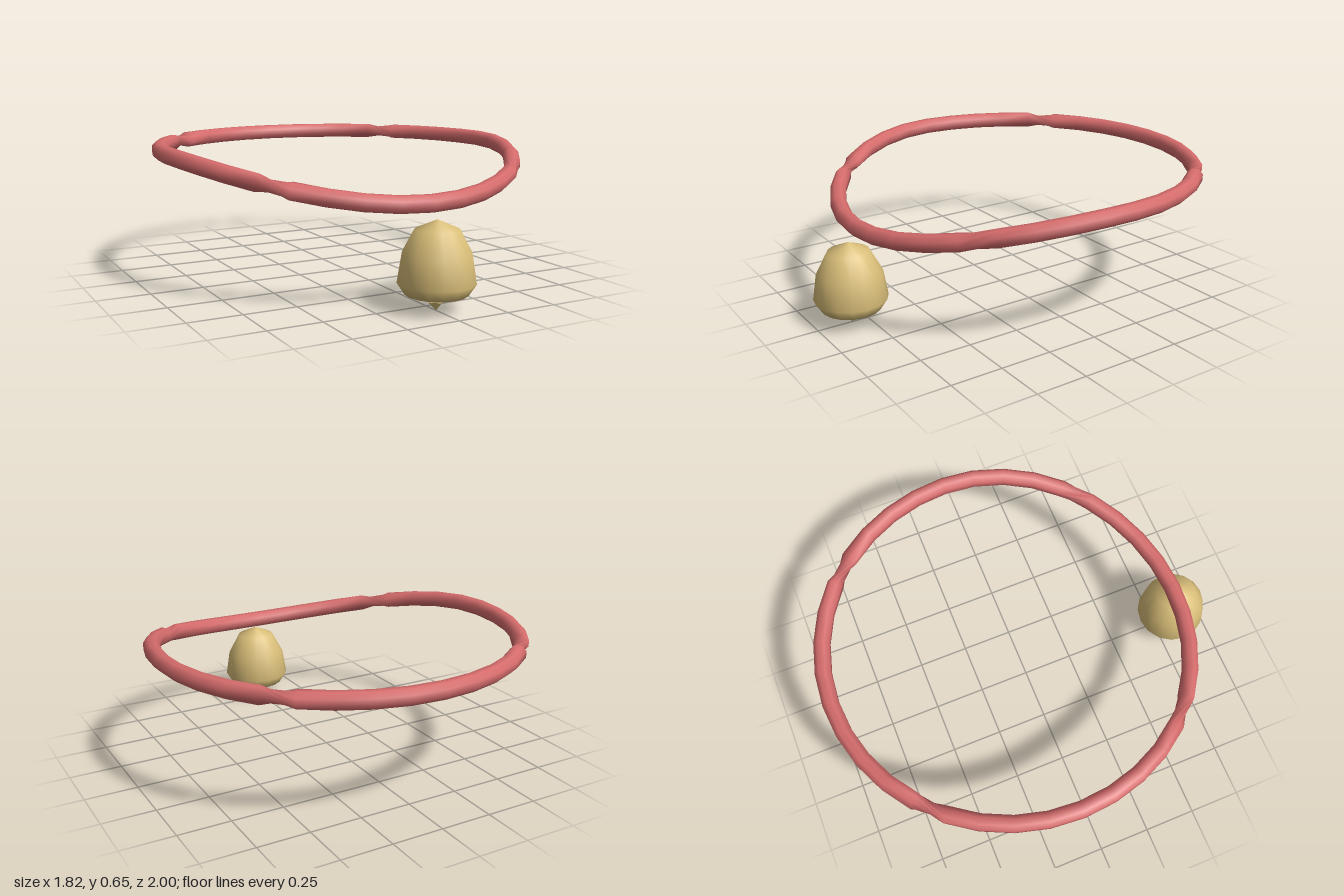
import * as THREE from 'three';

const red = new THREE.MeshStandardMaterial({ color: 0xd66c6c });
red.name = 'collarRed';
const gold = new THREE.MeshStandardMaterial({ color: 0xd8bd78 });
gold.name = 'bellGold';

// Round band that sags toward the front; its section twists at the four diagonals
function collarGeometry() {
  const SEG = 36, SIDES = 8, R = 0.872, r = 0.0405, cz = -0.088;
  const twists = [0, -45, 90, 225].map(THREE.MathUtils.degToRad); // right, front, left, back
  const pos = [], index = [];
  const up = new THREE.Vector3();
  for (let i = 0; i < SEG; i++) {
    const a = (i / SEG) * Math.PI * 2;
    const sag = Math.max(0, Math.sin(a));
    const centre = new THREE.Vector3(R * Math.cos(a), 0.617 - 0.16 * sag * sag, cz + R * Math.sin(a));
    const tangent = new THREE.Vector3(-R * Math.sin(a), -0.32 * sag * Math.cos(a), R * Math.cos(a)).normalize();
    const radial = new THREE.Vector3(Math.cos(a), 0, Math.sin(a));
    up.crossVectors(tangent, radial).normalize();
    const twist = twists[Math.floor((i + 4) / 9) % 4];
    for (let j = 0; j < SIDES; j++) {
      const b = ((j + 0.5) / SIDES) * Math.PI * 2 + twist;
      const p = centre.clone().addScaledVector(radial, r * Math.cos(b)).addScaledVector(up, r * Math.sin(b));
      pos.push(p.x, p.y, p.z);
      const k = (j + 1) % SIDES, n = (i + 1) % SEG;
      const A = i * SIDES + j, B = i * SIDES + k, C = n * SIDES + j, D = n * SIDES + k;
      index.push(A, B, C, B, D, C);
    }
  }
  const g = new THREE.BufferGeometry();
  g.setAttribute('position', new THREE.Float32BufferAttribute(pos, 3));
  g.setIndex(index);
  g.computeVertexNormals();
  return g;
}

export function createModel() {
  const model = new THREE.Group();
  model.name = 'bellCollar';

  const collar = new THREE.Mesh(collarGeometry(), red);
  collar.name = 'collarBand';
  model.add(collar);

  // Bell with a hollow underside
  const profile = [
    [0, 0.14], [0.09, 0.12], [0.138, 0.074], [0.172, 0.126],
    [0.152, 0.25], [0.097, 0.354], [0, 0.396],
  ].map(([x, y]) => new THREE.Vector2(x, y));
  const bell = new THREE.Group();
  bell.name = 'bell';
  bell.position.z = 0.828;
  const dome = new THREE.Mesh(new THREE.LatheGeometry(profile, 16), gold);
  dome.name = 'bellDome';
  const clapper = new THREE.Mesh(new THREE.OctahedronGeometry(0.04), gold);
  clapper.name = 'clapper';
  clapper.position.y = 0.04;
  bell.add(dome, clapper);
  model.add(bell);

  return model;
}
